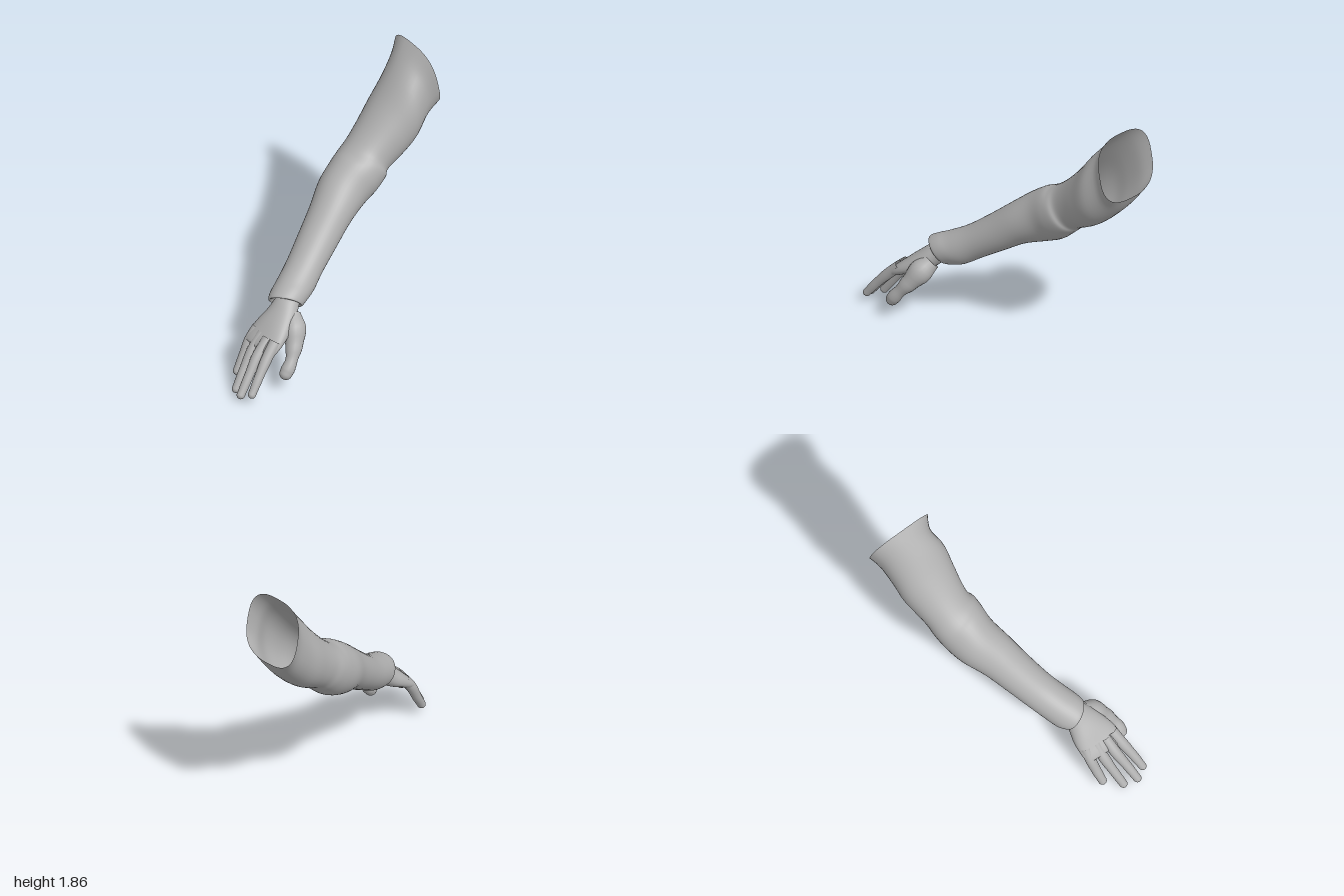
import * as THREE from 'three';

const SIDES = 40;

// Smooth skin through rings of points; every ring has the same point count
function skin(rings, material, name) {
  const n = rings[0].length, pos = [], idx = [];
  rings.forEach(r => r.forEach(p => pos.push(p.x, p.y, p.z)));
  for (let i = 0; i < rings.length - 1; i++) {
    for (let j = 0; j < n; j++) {
      const a = i * n + j, b = i * n + (j + 1) % n;
      idx.push(a, a + n, b, b, a + n, b + n);
    }
  }
  const g = new THREE.BufferGeometry();
  g.setAttribute('position', new THREE.Float32BufferAttribute(pos, 3));
  g.setIndex(idx);
  g.computeVertexNormals();
  const mesh = new THREE.Mesh(g, material);
  mesh.name = name;
  return mesh;
}

function ring(c, u, w, power = 1, n = SIDES) {
  const soft = v => Math.sign(v) * Math.pow(Math.abs(v), power);
  return Array.from({ length: n }, (_, j) => {
    const t = j / n * Math.PI * 2;
    return c.clone().addScaledVector(u, soft(Math.cos(t))).addScaledVector(w, soft(Math.sin(t)));
  });
}

function catmull(a, b, c, d, t) {
  return 0.5 * (2 * b + (c - a) * t + (2 * a - 5 * b + 4 * c - d) * t * t + (3 * b - a - 3 * c + d) * t * t * t);
}

// Section: upper x, y, lower x, y, centre z, half width, yaw, roundness power
function loft(sections, steps, material, name) {
  const rings = [], last = sections.length - 1;
  const at = i => sections[Math.min(Math.max(i, 0), last)];
  for (let k = 0; k <= last * steps; k++) {
    const i = Math.min(Math.floor(k / steps), last - 1), t = k / steps - i;
    const [tx, ty, bx, by, cz, hw, yaw, power] =
      at(i).map((v, m) => catmull(at(i - 1)[m], v, at(i + 1)[m], at(i + 2)[m], t));
    const c = new THREE.Vector3((tx + bx) / 2, (ty + by) / 2, cz);
    const u = new THREE.Vector3((tx - bx) / 2, (ty - by) / 2, 0);
    const w = new THREE.Vector3(yaw, yaw * 0.73, Math.sqrt(1 - yaw * yaw * 1.53)).multiplyScalar(hw);
    rings.push(ring(c, u, w, power));
  }
  return skin(rings, material, name);
}

// Tapered digit with a round tip; points are x, y, z, radius
function digit(points, material, name) {
  const curve = new THREE.CatmullRomCurve3(points.map(p => new THREE.Vector3(p[0], p[1], p[2])));
  const N = 20, frames = curve.computeFrenetFrames(N), rings = [], last = points.length - 1;
  const add = (c, r, i) => rings.push(ring(c, frames.binormals[i].clone().multiplyScalar(r),
    frames.normals[i].clone().multiplyScalar(r), 1, 20));
  for (let i = 0; i <= N; i++) {
    const t = i / N, f = t * last, k = Math.min(Math.floor(f), last - 1);
    const r = THREE.MathUtils.lerp(points[k][3], points[k + 1][3], THREE.MathUtils.smoothstep(f - k, 0, 1));
    add(curve.getPoint(t), r, i);
  }
  // Keep the frame spacing equal to the curve parameter closely enough, then round off the end
  const end = curve.getPoint(1), r = points[last][3];
  for (let k = 1; k <= 7; k++) {
    const a = k / 7 * Math.PI / 2;
    add(end.clone().addScaledVector(frames.tangents[N], Math.sin(a) * r), Math.max(Math.cos(a) * r, 0.0005), N);
  }
  return skin(rings, material, name);
}

export function createModel() {
  const model = new THREE.Group();
  model.name = 'sleevedArm';
  const grey = new THREE.MeshStandardMaterial({ color: 0xb0b0b0, side: THREE.DoubleSide });
  grey.name = 'grey';

  // Sleeve, open at the shoulder, bent at the elbow and turned in at the cuff
  const sleeve = [
    [0.89, 1.87, 0.99, 1.40, -0.24, 0.24, 0, 0.72],
    [0.82, 1.79, 0.92, 1.29, -0.235, 0.207, 0, 0.85],
    [0.72, 1.67, 0.80, 1.16, -0.207, 0.215, 0, 0.93],
    [0.60, 1.515, 0.70, 1.08, -0.205, 0.207, 0, 0.95],
    [0.48, 1.38, 0.61, 1.03, -0.195, 0.187, 0.03, 0.95],
    [0.38, 1.285, 0.56, 1.00, -0.183, 0.178, 0.1, 0.95],
    [0.31, 1.235, 0.52, 0.96, -0.167, 0.19, 0.2, 0.95],
    [0.24, 1.205, 0.42, 0.87, -0.15, 0.19, 0.28, 1],
    [0.13, 1.125, 0.30, 0.81, -0.125, 0.175, 0.33, 1],
    [0.00, 1.01, 0.14, 0.745, -0.06, 0.155, 0.36, 1],
    [-0.15, 0.875, 0.00, 0.655, 0.00, 0.142, 0.38, 1],
    [-0.30, 0.75, -0.16, 0.55, 0.065, 0.133, 0.4, 1],
    [-0.43, 0.67, -0.27, 0.475, 0.12, 0.132, 0.42, 1],
    [-0.50, 0.635, -0.36, 0.445, 0.155, 0.13, 0.42, 1],
    [-0.55, 0.605, -0.395, 0.445, 0.18, 0.118, 0.42, 1],
    [-0.545, 0.588, -0.41, 0.46, 0.185, 0.105, 0.42, 1],
    [-0.49, 0.585, -0.39, 0.49, 0.17, 0.085, 0.42, 1],
  ];
  model.add(loft(sleeve, 5, grey, 'sleeve'));

  // Wrist and palm, closed at the knuckles
  const hand = new THREE.Group();
  hand.name = 'hand';
  const palm = [
    [-0.45, 0.60, -0.37, 0.51, 0.16, 0.08, 0.4, 1],
    [-0.52, 0.565, -0.42, 0.46, 0.185, 0.092, 0.35, 1],
    [-0.575, 0.515, -0.465, 0.41, 0.205, 0.113, 0.25, 0.95],
    [-0.64, 0.455, -0.54, 0.355, 0.22, 0.138, 0.15, 0.9],
    [-0.70, 0.395, -0.625, 0.315, 0.235, 0.153, 0.08, 0.85],
    [-0.75, 0.345, -0.69, 0.282, 0.242, 0.153, 0.03, 0.85],
    [-0.772, 0.312, -0.725, 0.272, 0.243, 0.14, 0, 0.85],
    [-0.755, 0.295, -0.754, 0.294, 0.243, 0.1, 0, 1],
  ];
  hand.add(loft(palm, 5, grey, 'palm'));

  // Digits from thumb to little finger
  const digits = {
    thumb: [[-0.475, 0.46, 0.25, 0.065], [-0.505, 0.39, 0.325, 0.083], [-0.55, 0.305, 0.385, 0.06],
      [-0.60, 0.235, 0.425, 0.042], [-0.64, 0.18, 0.438, 0.048], [-0.658, 0.155, 0.44, 0.045]],
    indexFinger: [[-0.68, 0.37, 0.345, 0.04], [-0.77, 0.28, 0.37, 0.038], [-0.86, 0.175, 0.40, 0.032], [-0.93, 0.082, 0.422, 0.028]],
    middleFinger: [[-0.69, 0.365, 0.28, 0.04], [-0.79, 0.275, 0.295, 0.038], [-0.89, 0.155, 0.325, 0.032], [-0.97, 0.052, 0.348, 0.029]],
    ringFinger: [[-0.68, 0.365, 0.205, 0.04], [-0.77, 0.27, 0.21, 0.038], [-0.86, 0.15, 0.23, 0.032], [-0.94, 0.036, 0.252, 0.029]],
    littleFinger: [[-0.67, 0.37, 0.13, 0.038], [-0.735, 0.285, 0.125, 0.037], [-0.79, 0.185, 0.132, 0.034], [-0.85, 0.085, 0.142, 0.03]],
  };
  for (const [name, points] of Object.entries(digits)) hand.add(digit(points, grey, name));
  model.add(hand);
  return model;
}
